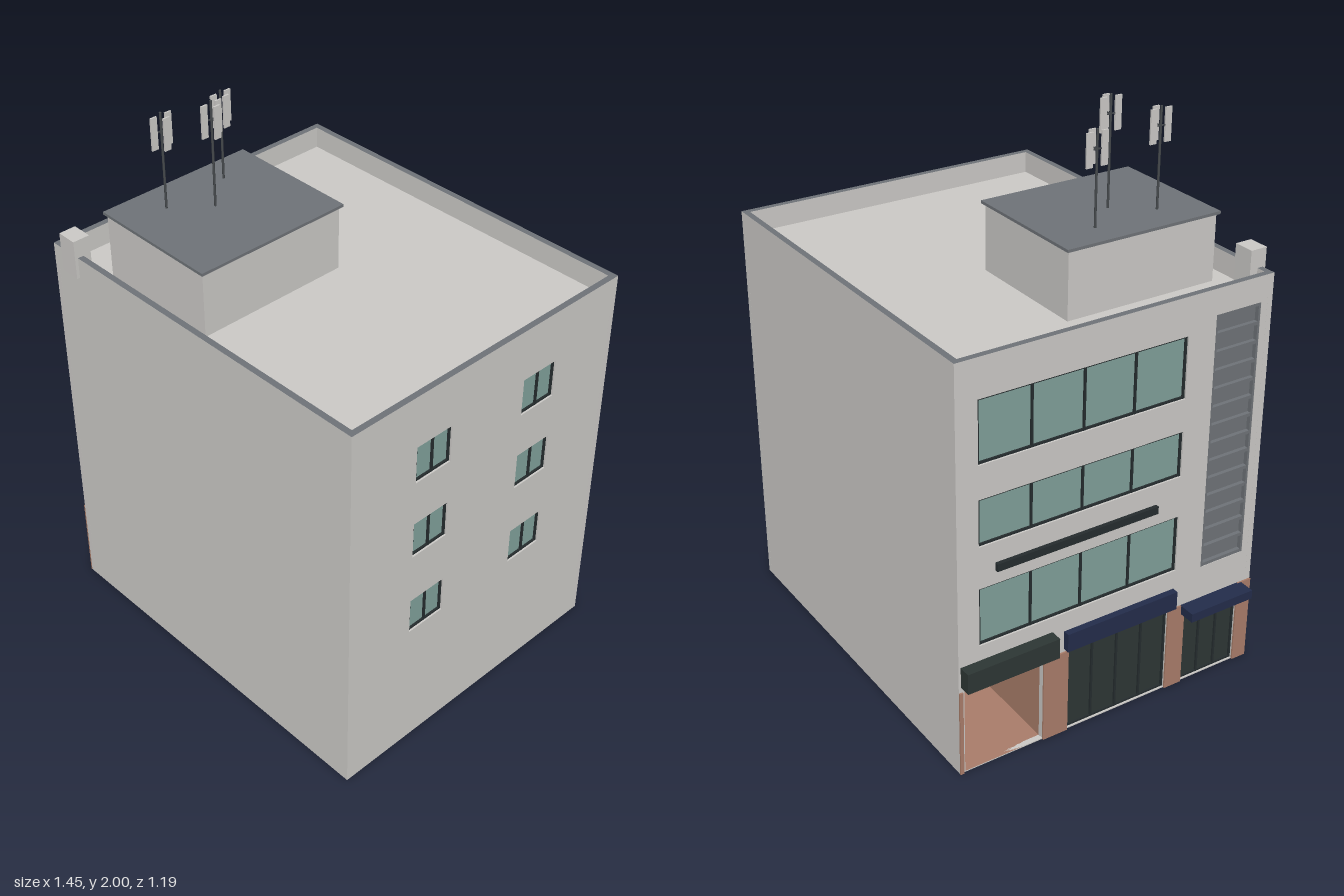
import * as THREE from 'three';

const mat = (name, color, side = THREE.FrontSide) => {
  const m = new THREE.MeshStandardMaterial({ color, side });
  m.name = name;
  return m;
};
const M = {
  wall: mat('pale plaster', 0xcac8c5, THREE.DoubleSide),
  slate: mat('slate grey', 0x6e7277),
  glass: mat('green glass', 0x7f9f99),
  frame: mat('dark frame', 0x252c2e),
  shop: mat('dark shopfront', 0x2d3634),
  navy: mat('navy awning', 0x232c4a),
  brick: mat('terracotta cladding', 0xa87c69),
  pole: mat('antenna pole grey', 0x45494c),
};

// Footprint corners (x, z), slightly out of square
const A = [-0.66, -0.585], B = [0.72, -0.595], C = [0.72, 0.575], D = [-0.66, 0.587];
const ROOF = 1.385, TOP = 1.465, T = 0.02;

// Box given by its minimum and maximum corners
function box(parent, name, material, x0, x1, y0, y1, z0, z1) {
  const mesh = new THREE.Mesh(new THREE.BoxGeometry(x1 - x0, y1 - y0, z1 - z0), material);
  mesh.position.set((x0 + x1) / 2, (y0 + y1) / 2, (z0 + z1) / 2);
  mesh.name = name;
  parent.add(mesh);
  return mesh;
}

const path = (pts, P = THREE.Shape) => new P(pts.map(p => new THREE.Vector2(...p)));

// Wall from corner a to b; local x runs along it, local z points outwards
function wall(parent, name, a, b, holes = []) {
  const g = new THREE.Group();
  const dx = b[0] - a[0], dz = b[1] - a[1], L = Math.hypot(dx, dz);
  const s = path([[0, 0], [L, 0], [L, ROOF], [0, ROOF]]);
  for (const [u0, u1, y0, y1] of holes) {
    s.holes.push(path([[u0, y0], [u0, y1], [u1, y1], [u1, y0]], THREE.Path));
  }
  const geo = new THREE.ExtrudeGeometry(s, { depth: T, bevelEnabled: false });
  geo.translate(0, 0, -T);
  const mesh = new THREE.Mesh(geo, M.wall);
  mesh.name = name + 'Panel';
  g.add(mesh);
  g.position.set(a[0], 0, a[1]);
  g.rotation.y = Math.atan2(-dz, dx);
  g.name = name;
  parent.add(g);
  return g;
}

// Pane with border and mullions, set into a wall opening
function glazing(g, name, [u0, u1, y0, y1], panes, material, border = 0.007) {
  box(g, name + 'Pane', material, u0, u1, y0, y1, -0.019, -0.013);
  for (let i = 0; i <= panes; i++) {
    const c = u0 + border / 2 + (u1 - u0 - border) * i / panes;
    box(g, name + 'Mullion', M.frame, c - border / 2, c + border / 2, y0, y1, -0.013, -0.006);
  }
  for (const y of [y0, y1 - border]) {
    box(g, name + 'Rail', M.frame, u0, u1, y, y + border, -0.013, -0.0065);
  }
}

function buildFacade(root) {
  const u = z => z - A[1];
  const span = (z0, z1, y0, y1) => [u(z0), u(z1), y0, y1];
  const windows = [[0.47, 0.68], [0.83, 0.995], [1.112, 1.33]].map(([a, b]) => span(-0.508, 0.256, a, b));
  const louvre = span(0.363, 0.542, 0.444, 1.374);
  const recess = span(-0.572, -0.27, 0.004, 0.36);
  const shops = [span(-0.174, 0.23, 0.004, 0.36), span(0.3, 0.53, 0.004, 0.32)];
  const g = wall(root, 'streetFacade', A, D, [...windows, louvre, recess, ...shops]);

  windows.forEach(w => glazing(g, 'ribbonWindow', w, 4, M.glass));
  shops.forEach((s, i) => glazing(g, 'shopfront', s, i ? 3 : 4, M.shop));

  // Stair tower louvres
  box(g, 'louvreBacking', M.slate, louvre[0], louvre[1], louvre[2], louvre[3], -0.02, -0.016);
  for (let i = 0; i <= 14; i++) {
    const y = louvre[2] + (louvre[3] - louvre[2] - 0.012) * i / 14;
    box(g, 'louvreSlat', M.slate, louvre[0], louvre[1], y, y + 0.012, -0.016, -0.002);
  }
  for (const x of [louvre[0], louvre[1] - 0.008]) {
    box(g, 'louvreSide', M.slate, x, x + 0.008, louvre[2], louvre[3], -0.016, -0.001);
  }

  // Ground floor cladding piers
  for (const [z0, z1] of [[-0.585, -0.572], [-0.27, -0.174], [0.23, 0.3], [0.53, 0.587]]) {
    box(g, 'claddingPier', M.brick, u(z0), u(z1), 0, 0.32, 0, 0.006);
  }

  // Entrance passage
  const [r0, r1, , h] = recess, deep = -0.84;
  box(g, 'passageFloor', M.brick, 0.004, r1, 0, 0.004, deep, 0);
  box(g, 'passageSideWall', M.brick, r1, r1 + 0.006, 0.002, h, deep, -T);
  box(g, 'passageSideWall', M.brick, r0 + 0.008, r0 + 0.014, 0.004, h, deep, -T);
  box(g, 'passageCeiling', M.wall, r0, r1, h, h + 0.006, deep, -T);
  box(g, 'passageEndDoor', M.shop, 0.012, r1 + 0.006, 0.002, h, deep - 0.008, deep);

  // Awnings and sign bar
  box(g, 'entranceAwning', M.shop, u(-0.577), u(-0.235), 0.34, 0.415, 0, 0.043);
  box(g, 'wideShopAwning', M.navy, u(-0.19), u(0.25), 0.332, 0.4, 0, 0.024);
  box(g, 'smallShopAwning', M.navy, u(0.285), u(0.545), 0.287, 0.32, 0, 0.065);
  box(g, 'signBar', M.frame, u(-0.45), u(0.16), 0.73, 0.757, 0, 0.014);
}

function buildSide(root) {
  const openings = [];
  for (const z of [0.23, -0.243]) {
    for (const [y0, y1] of [[0.505, 0.643], [0.833, 0.97], [1.135, 1.273]]) {
      openings.push([C[1] - z - 0.075, C[1] - z + 0.075, y0, y1]);
    }
  }
  const g = wall(root, 'windowedSide', C, B, openings);
  openings.forEach(o => glazing(g, 'sideWindow', o, 2, M.glass));
}

function buildRoof(root) {
  // Parapet ring with slate coping
  const e = 0.022;
  const flat = (pts, k) => pts.map(([x, z]) => [x - Math.sign(x) * k, -(z - Math.sign(z) * k)]);
  const ring = path(flat([D, C, B, A], 0));
  ring.holes.push(path(flat([D, A, B, C], e), THREE.Path));
  const geo = new THREE.ExtrudeGeometry(ring, { depth: TOP - ROOF, bevelEnabled: false });
  const parapet = new THREE.Mesh(geo.rotateX(-Math.PI / 2), [M.slate, M.wall]);
  parapet.position.y = ROOF;
  parapet.name = 'parapet';
  root.add(parapet);

  const deck = new THREE.Mesh(new THREE.ShapeGeometry(path(flat([D, C, B, A], 0.01))).rotateX(-Math.PI / 2), M.wall);
  deck.position.y = ROOF + 0.002;
  deck.name = 'roofDeck';
  root.add(deck);

  // Rooftop hut and chimney
  box(root, 'hutWalls', M.wall, -0.47, -0.004, ROOF, 1.618, -0.067, 0.498);
  box(root, 'hutRoof', M.slate, -0.48, 0.006, 1.618, 1.628, -0.077, 0.507);
  box(root, 'chimney', M.wall, -0.605, -0.53, 1.39, 1.53, 0.535, 0.597);

  // Antenna masts with three panels each
  for (const [x, z, top] of [[-0.38, 0.093, 1.945], [-0.265, 0.225, 2.0], [-0.36, 0.347, 1.967]]) {
    const g = new THREE.Group();
    g.name = 'antennaMast';
    const pole = new THREE.Mesh(new THREE.CylinderGeometry(0.004, 0.004, top - 1.628, 8), M.pole);
    pole.position.set(x, (top + 1.628) / 2, z);
    pole.name = 'mastPole';
    g.add(pole);
    for (const [dx, dz] of [[0, -0.028], [0, 0.028], [0.027, 0]]) {
      const px = x + dx, pz = z + dz;
      box(g, 'antennaPanel', M.wall, px - 0.003, px + 0.003, top - 0.12, top - 0.008, pz - 0.012, pz + 0.012);
    }
    box(g, 'panelArm', M.pole, x - 0.002, x + 0.025, top - 0.066, top - 0.062, z - 0.002, z + 0.002);
    box(g, 'panelArm', M.pole, x - 0.002, x + 0.002, top - 0.066, top - 0.062, z - 0.02, z + 0.02);
    root.add(g);
  }
}

export function createModel() {
  const root = new THREE.Group();
  root.name = 'cornerBuilding';
  wall(root, 'frontWall', D, C);
  wall(root, 'backWall', B, A);
  buildSide(root);
  buildFacade(root);
  buildRoof(root);
  return root;
}
